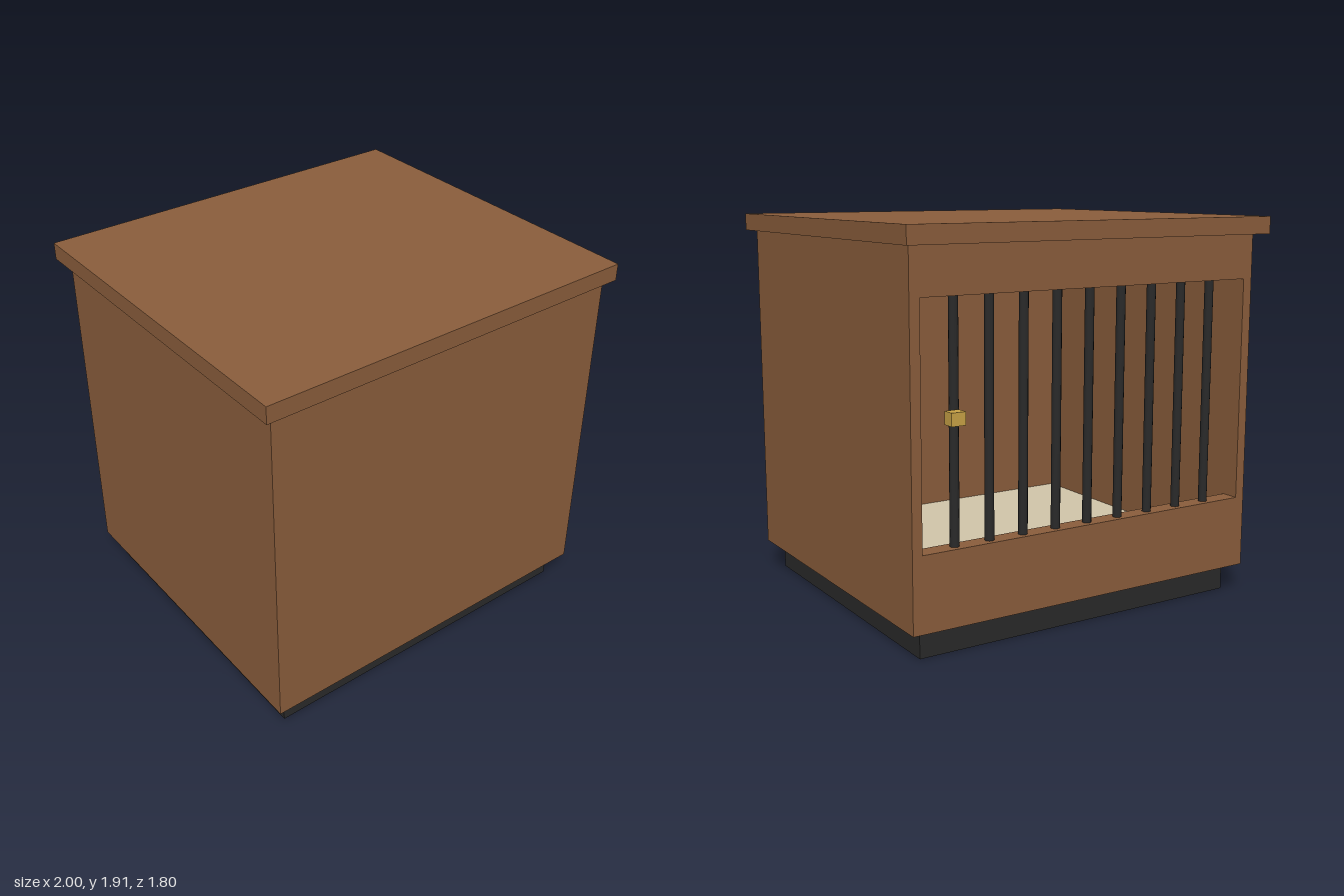
import * as THREE from 'three';

const mat = (color, side = THREE.FrontSide) => new THREE.MeshStandardMaterial({ color, side });

export function createModel() {
  const model = new THREE.Group();
  const wood = mat(0x8b5e3c);
  const black = mat(0x2a2a2a);
  const cream = mat(0xd2c6aa);
  const brass = mat(0xc9a346);

  // Box given by its low and high limits on each axis
  const box = (name, material, [x0, x1], [y0, y1], [z0, z1]) => {
    const mesh = new THREE.Mesh(new THREE.BoxGeometry(x1 - x0, y1 - y0, z1 - z0), material);
    mesh.position.set((x0 + x1) / 2, (y0 + y1) / 2, (z0 + z1) / 2);
    mesh.name = name;
    model.add(mesh);
    return mesh;
  };

  const inner = [-0.905, 0.905];
  const wallY = [0.14, 1.83];
  const railZ = [-0.83, -0.74];

  // Recessed plinth, hollow and open underneath
  const plinth = box('plinth', mat(0x2a2a2a, THREE.DoubleSide), [-0.887, 0.887], [0, 0.14], [-0.76, 0.79]);
  const index = Array.from(plinth.geometry.index.array);
  index.splice(18, 6); // drop the bottom face
  plinth.geometry.setIndex(index);

  // Cabinet walls, floor and top
  box('leftWall', wood, [0.905, 0.955], wallY, [-0.83, 0.86]);
  box('rightWall', wood, [-0.955, -0.905], wallY, [-0.83, 0.86]);
  box('frontWall', wood, inner, wallY, [0.81, 0.86]);
  box('floor', wood, inner, [0.16, 0.19], [-0.74, 0.81]);
  box('cushion', cream, inner, [0.19, 0.217], [-0.74, 0.81]);
  box('top', wood, [-1, 1], [1.83, 1.915], [-0.9, 0.9]);

  // Rails above and below the barred opening at the back
  box('lowerRail', wood, inner, [0.14, 0.5], railZ);
  box('upperRail', wood, inner, [1.61, 1.83], railZ);

  // Row of upright bars
  const bars = new THREE.Group();
  bars.name = 'bars';
  const barGeometry = new THREE.CylinderGeometry(0.022, 0.022, 1.11, 12);
  for (let i = -4; i <= 4; i++) {
    const bar = new THREE.Mesh(barGeometry, black);
    bar.name = 'bar';
    bar.position.set(i * 0.18, 1.055, -0.785);
    bars.add(bar);
  }
  model.add(bars);

  // Door latch
  box('latch', brass, [0.715, 0.785], [1.06, 1.12], [-0.88, -0.82]);

  return model;
}
